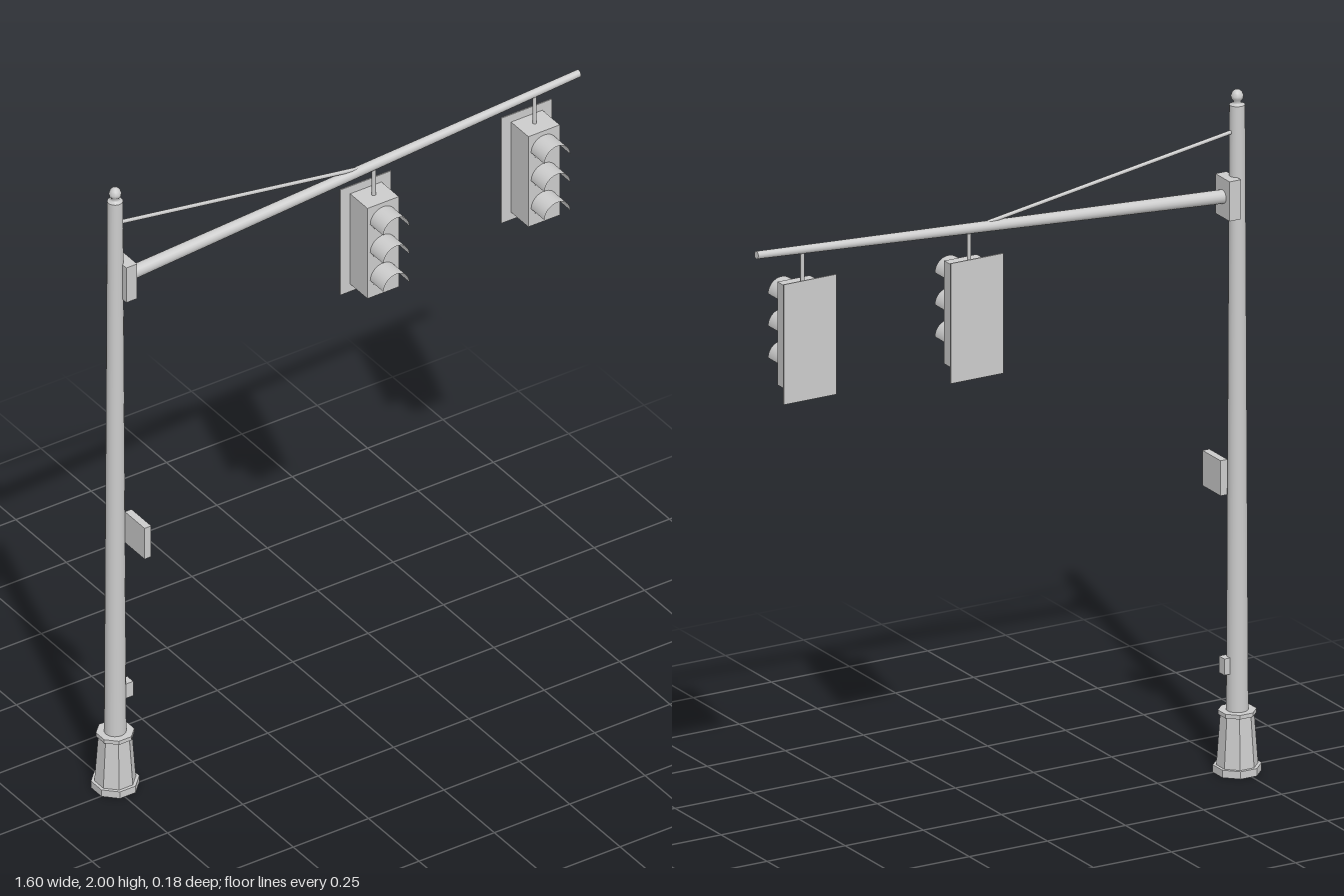
import * as THREE from 'three';

const AXIS_X = -0.74, AXIS_Z = -0.025;

export function createModel() {
  const root = new THREE.Group();
  root.name = 'trafficSignalPole';
  const grey = new THREE.MeshStandardMaterial({ color: 0xcccccc, side: THREE.DoubleSide });
  grey.name = 'painted metal grey';
  const facetGrey = grey.clone(); // same paint on faceted parts
  facetGrey.flatShading = true;

  const add = (parent, name, geo, x, y, z, mat = grey) => {
    const m = new THREE.Mesh(geo, mat);
    m.name = name;
    m.position.set(x, y, z);
    parent.add(m);
    return m;
  };
  const box = (parent, name, w, h, d, x, y, z) =>
    add(parent, name, new THREE.BoxGeometry(w, h, d), x, y, z);
  // Tapered rod between two points
  const rod = (parent, name, a, b, ra, rb, sides = 12) => {
    const dir = b.clone().sub(a);
    const mid = a.clone().add(b).multiplyScalar(0.5);
    const m = add(parent, name, new THREE.CylinderGeometry(rb, ra, dir.length(), sides), mid.x, mid.y, mid.z);
    m.quaternion.setFromUnitVectors(new THREE.Vector3(0, 1, 0), dir.normalize());
    return m;
  };
  const v = (x, y) => new THREE.Vector3(x, y, AXIS_Z);

  // Octagonal base, flats facing the axes
  const octagon = (name, y0, y1, w0, w1) => {
    const k = 1 / Math.cos(Math.PI / 8);
    const geo = new THREE.CylinderGeometry(w1 * k, w0 * k, y1 - y0, 8);
    geo.rotateY(Math.PI / 8);
    add(root, name, geo, AXIS_X, (y0 + y1) / 2, AXIS_Z, facetGrey);
  };
  octagon('basePlate', 0, 0.022, 0.063, 0.063);
  octagon('baseSkirt', 0.022, 0.17, 0.054, 0.044);
  octagon('baseRim', 0.17, 0.182, 0.05, 0.05);

  // Pole and finial
  rod(root, 'pole', v(AXIS_X, 0.17), v(AXIS_X, 1.955), 0.031, 0.022, 20);
  const profile = [[0.022, 0], [0.012, 0.003], [0.01, 0.01], [0.017, 0.018],
    [0.018, 0.026], [0.014, 0.037], [0.007, 0.043], [0, 0.045]].map(([r, y]) => new THREE.Vector2(r, y));
  add(root, 'finial', new THREE.LatheGeometry(profile, 12), AXIS_X, 1.955, AXIS_Z);

  // Arm with its bracket and tie rod
  box(root, 'armBracket', 0.036, 0.116, 0.078, -0.711, 1.69, AXIS_Z);
  rod(root, 'arm', v(-0.71, 1.692), v(0.799, 1.794), 0.02, 0.011, 16);
  rod(root, 'tieRod', v(-0.725, 1.878), v(0.06, 1.755), 0.006, 0.006, 8);

  // Boxes on the pole
  box(root, 'sidePanel', 0.022, 0.103, 0.098, -0.706, 0.862, 0.038);
  box(root, 'accessBox', 0.026, 0.048, 0.03, -0.706, 0.316, -0.02);

  // Hanging signal heads
  const visorGeo = new THREE.CylinderGeometry(0.043, 0.043, 0.068, 20, 1, true, -Math.PI / 2, Math.PI);
  visorGeo.rotateX(-Math.PI / 2); // half tube pointing forward, arch upward
  const ys = visorGeo.attributes.position;
  let sum = 0;
  for (let i = 0; i < ys.count; i++) sum += ys.getY(i);
  if (sum < 0) visorGeo.rotateZ(Math.PI);

  const signal = (name, x, y) => {
    const g = new THREE.Group();
    g.name = name;
    g.position.set(x, y, 0);
    root.add(g);
    box(g, 'housing', 0.104, 0.302, 0.086, 0, 0, -0.021);
    box(g, 'backPlate', 0.168, 0.352, 0.004, 0, 0, -0.066);
    const top = 1.693 + (x + 0.695) * 0.0675 - y;
    rod(g, 'hanger', v(0, 0.15), v(0, top), 0.006, 0.006, 8);
    for (const dy of [0.094, 0, -0.094]) {
      const lens = add(g, 'lens', new THREE.CylinderGeometry(0.036, 0.036, 0.003, 20), 0, dy, 0.0225);
      lens.rotation.x = Math.PI / 2;
      add(g, 'visor', visorGeo, 0, dy, 0.054);
    }
  };
  signal('innerSignal', 0.118, 1.497);
  signal('outerSignal', 0.652, 1.533);
  return root;
}
